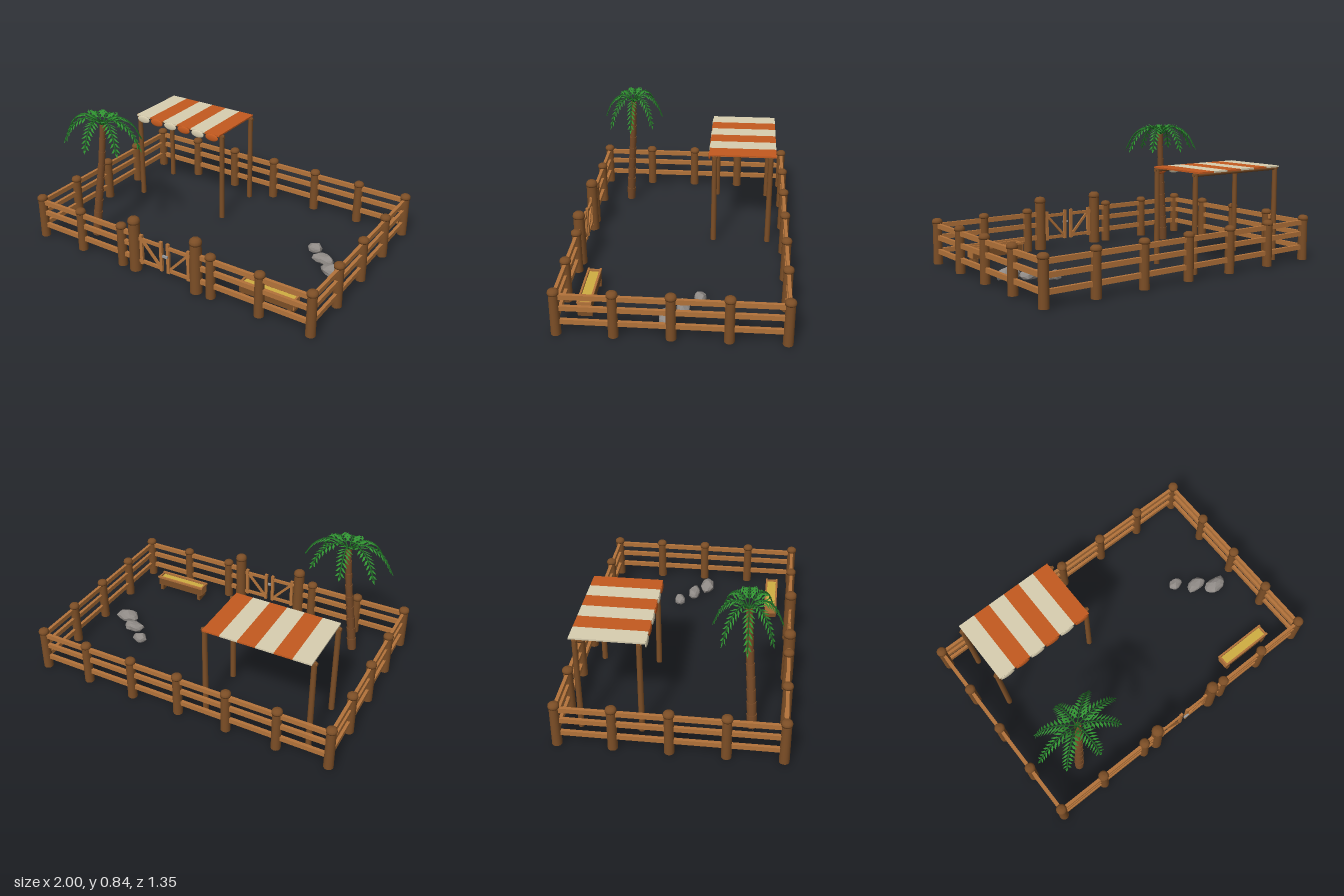
import * as THREE from 'three';
import { mergeGeometries } from 'three/addons/utils/BufferGeometryUtils.js';

const V = (x, y, z) => new THREE.Vector3(x, y, z);

function material(name, color, extra = {}) {
  const m = new THREE.MeshStandardMaterial({ color, ...extra });
  m.name = name;
  return m;
}

function add(parent, name, geometry, mat, x = 0, y = 0, z = 0) {
  const mesh = new THREE.Mesh(geometry, mat);
  mesh.name = name;
  mesh.position.set(x, y, z);
  parent.add(mesh);
  return mesh;
}

// Straight box bar between two points
function bar(parent, name, a, b, height, depth, mat) {
  const mesh = add(parent, name, new THREE.BoxGeometry(depth, height, a.distanceTo(b)), mat);
  mesh.position.copy(a).lerp(b, 0.5);
  mesh.lookAt(b);
  return mesh;
}

// Round log with a wider domed cap
function postParts(r, capR, capY, top) {
  const h = top - capY;
  const log = new THREE.CylinderGeometry(r, r * 1.06, capY, 14).translate(0, capY / 2, 0);
  const profile = [[0, capY - 0.004], [capR * 0.96, capY - 0.004], [capR, capY + h * 0.2],
    [capR * 0.9, capY + h * 0.62], [capR * 0.6, capY + h * 0.9], [0, top]];
  const cap = new THREE.LatheGeometry(profile.map(([x, y]) => new THREE.Vector2(x, y)), 14);
  return [log, cap];
}

export function createModel() {
  const wood = material('dark wood', 0x7c4e26);
  const lightWood = material('light wood', 0xb3733a);
  const bark = material('bark', 0x7a4c28);
  const leaf = material('leaf green', 0x2f9130, { side: THREE.DoubleSide });
  const rib = material('dark green', 0x1f6a25);
  const cream = material('cream cloth', 0xd8ceb0);
  const orange = material('orange cloth', 0xc45a1f);
  const hayMat = material('hay', 0xcfae42);
  const stone = material('stone', 0x8f8a86, { flatShading: true });
  const metal = material('metal', 0x9a9c9e);
  const model = new THREE.Group();
  model.name = 'paddock';

  // Fence posts and rails
  const fence = new THREE.Group();
  fence.name = 'fence';
  model.add(fence);
  const X = 0.967, Z = 0.637;
  const [log, cap] = postParts(0.028, 0.033, 0.262, 0.29);
  const post = (x, z) => {
    add(fence, 'fencePost', log, wood, x, 0, z);
    add(fence, 'fencePostCap', cap, wood, x, 0, z);
  };
  for (let i = -3; i <= 3; i++) {
    post(i * X / 3, -Z);
    if (i !== 0) post(i * X / 3, Z);
  }
  for (const s of [-1, 1]) for (const k of [-0.5, 0, 0.5]) post(s * X, k * Z);
  for (const y of [0.083, 0.17, 0.243]) {
    bar(fence, 'backRail', V(-X, y, -Z), V(X, y, -Z), 0.03, 0.02, lightWood);
    for (const s of [-1, 1]) {
      bar(fence, 'sideRail', V(s * X, y, -Z), V(s * X, y, Z), 0.03, 0.02, lightWood);
      bar(fence, 'frontRail', V(s * 0.22, y, Z), V(s * X, y, Z), 0.03, 0.02, lightWood);
    }
  }

  // Double gate with braced leaves
  const gate = new THREE.Group();
  gate.name = 'gate';
  model.add(gate);
  const [gateLog, gateCap] = postParts(0.035, 0.038, 0.325, 0.362);
  for (const s of [-1, 1]) {
    add(gate, 'gatePost', gateLog, wood, s * 0.222, 0, Z);
    add(gate, 'gatePostCap', gateCap, wood, s * 0.222, 0, Z);
    for (const x of [0.025, 0.17])
      add(gate, 'gateStile', new THREE.BoxGeometry(0.02, 0.2, 0.016), lightWood, s * x, 0.155, Z);
    for (const y of [0.073, 0.225])
      bar(gate, 'gateRail', V(s * 0.015, y, Z), V(s * 0.19, y, Z), 0.02, 0.014, lightWood);
    bar(gate, 'gateBrace', V(s * 0.03, 0.075, Z), V(s * 0.165, 0.222, Z), 0.016, 0.012, lightWood);
  }
  add(gate, 'latch', new THREE.BoxGeometry(0.035, 0.014, 0.012), metal, 0.012, 0.17, Z + 0.013);

  // Striped awning on four poles
  const awning = new THREE.Group();
  awning.name = 'awning';
  model.add(awning);
  for (const z of [-0.18, -0.535]) {
    for (const x of [-0.803, -0.135])
      add(awning, 'awningPole', new THREE.CylinderGeometry(0.016, 0.018, 0.6, 10), wood, x, 0.3, z);
    const beam = add(awning, 'awningBeam', new THREE.CylinderGeometry(0.011, 0.011, 0.705, 10), wood, -0.469, 0.592, z);
    beam.rotation.z = Math.PI / 2;
  }
  const stripeW = 0.666 / 6;
  for (let i = 0; i < 6; i++) {
    const x = -0.802 + (i + 0.5) * stripeW, mat = i % 2 ? orange : cream;
    add(awning, 'awningStripe', new THREE.BoxGeometry(stripeW, 0.01, 0.425), mat, x, 0.606, -0.3575);
    const lobe = add(awning, 'awningScallop', new THREE.SphereGeometry(1, 16, 10), mat, x, 0.586, -0.145);
    lobe.scale.set(0.05, 0.025, 0.007);
  }

  // Leaning palm trunk of flared segments
  const palm = new THREE.Group();
  palm.name = 'palmTree';
  model.add(palm);
  const trunk = new THREE.CatmullRomCurve3([V(-0.7, 0, 0.445), V(-0.675, 0.25, 0.43), V(-0.648, 0.5, 0.412), V(-0.628, 0.765, 0.398)]);
  const N = 9;
  for (let i = 0; i < N; i++) {
    const a = trunk.getPoint(i / N), b = trunk.getPoint((i + 1) / N);
    const r = 0.029 - 0.011 * i / N;
    const segment = add(palm, 'trunkSegment', new THREE.CylinderGeometry(r * 1.06, r * 0.95, a.distanceTo(b) + 0.004, 10), bark);
    segment.position.copy(a).lerp(b, 0.5);
    segment.quaternion.setFromUnitVectors(V(0, 1, 0), b.clone().sub(a).normalize());
  }

  // Arching fronds: a rib with paired pointed leaflets
  const arch = new THREE.CatmullRomCurve3([V(0, 0.76, 0), V(0.07, 0.812, 0), V(0.15, 0.807, 0), V(0.225, 0.755, 0), V(0.28, 0.665, 0)]);
  const leaflets = [];
  const leaflet = (base, dir, along, length, width) => {
    const mid = base.clone().addScaledVector(dir, length * 0.45);
    const tip = base.clone().addScaledVector(dir, length);
    const p = mid.clone().addScaledVector(along, width / 2), q = mid.clone().addScaledVector(along, -width / 2);
    const g = new THREE.BufferGeometry().setFromPoints([base, p, tip, base, tip, q]);
    g.computeVertexNormals();
    leaflets.push(g);
  };
  for (let k = 0; k < 10; k++) {
    const t = 0.16 + 0.084 * k;
    const base = arch.getPoint(t), along = arch.getTangent(t);
    for (const s of [-1, 1]) {
      const dir = along.clone().multiplyScalar(0.6).add(V(0, k < 3 ? 0.1 : -0.2, s * 0.85)).normalize();
      leaflet(base, dir, along, 0.088 - 0.05 * t, 0.021);
    }
  }
  leaflet(arch.getPoint(0.95), arch.getTangent(1), V(0, 0, 1), 0.045, 0.018);
  const leafGeometry = mergeGeometries(leaflets);
  const ribGeometry = new THREE.TubeGeometry(arch, 12, 0.005, 5);
  const crown = new THREE.Group();
  crown.name = 'palmCrown';
  crown.position.set(-0.633, 0, 0.396);
  crown.scale.z = 0.68;
  palm.add(crown);
  for (let i = 0; i < 8; i++) {
    const frond = new THREE.Group();
    frond.name = 'frond';
    frond.rotation.y = i * Math.PI / 4 + 0.06;
    add(frond, 'frondLeaflets', leafGeometry, leaf);
    add(frond, 'frondRib', ribGeometry, rib);
    crown.add(frond);
  }

  // Feeding trough with hay
  const trough = new THREE.Group();
  trough.name = 'trough';
  trough.position.set(0.633, 0, 0.507);
  model.add(trough);
  add(trough, 'troughFloor', new THREE.BoxGeometry(0.34, 0.012, 0.07), wood, 0, 0.042, 0);
  add(trough, 'hay', new THREE.BoxGeometry(0.335, 0.04, 0.062), hayMat, 0, 0.07, 0);
  for (const s of [-1, 1]) {
    add(trough, 'troughSide', new THREE.BoxGeometry(0.35, 0.052, 0.01), wood, 0, 0.064, s * 0.034);
    add(trough, 'troughRim', new THREE.BoxGeometry(0.365, 0.014, 0.012), lightWood, 0, 0.098, s * 0.036);
    add(trough, 'troughEnd', new THREE.BoxGeometry(0.012, 0.062, 0.07), lightWood, s * 0.173, 0.07, 0);
    add(trough, 'troughFoot', new THREE.BoxGeometry(0.022, 0.036, 0.085), wood, s * 0.153, 0.018, 0);
  }

  // Irregular boulders
  const rocks = [[0.594, -0.138, 0.05, 0.055, 0.038], [0.697, -0.048, 0.074, 0.058, 0.043], [0.802, 0.04, 0.084, 0.066, 0.051]];
  rocks.forEach(([x, z, rx, h, rz], n) => {
    const g = new THREE.IcosahedronGeometry(1, 1), p = g.attributes.position;
    for (let i = 0; i < p.count; i++) {
      const v = V(0, 0, 0).fromBufferAttribute(p, i);
      const k = 0.95 + 0.14 * Math.sin(v.x * 4.1 + n * 2) * Math.cos(v.z * 3.7 + v.y * 2 + n);
      p.setXYZ(i, v.x * k * rx, Math.max(0, h * 0.35 + v.y * k * h * 0.66), v.z * k * rz);
    }
    g.computeVertexNormals();
    add(model, 'rock', g, stone, x, 0, z);
  });

  return model;
}
